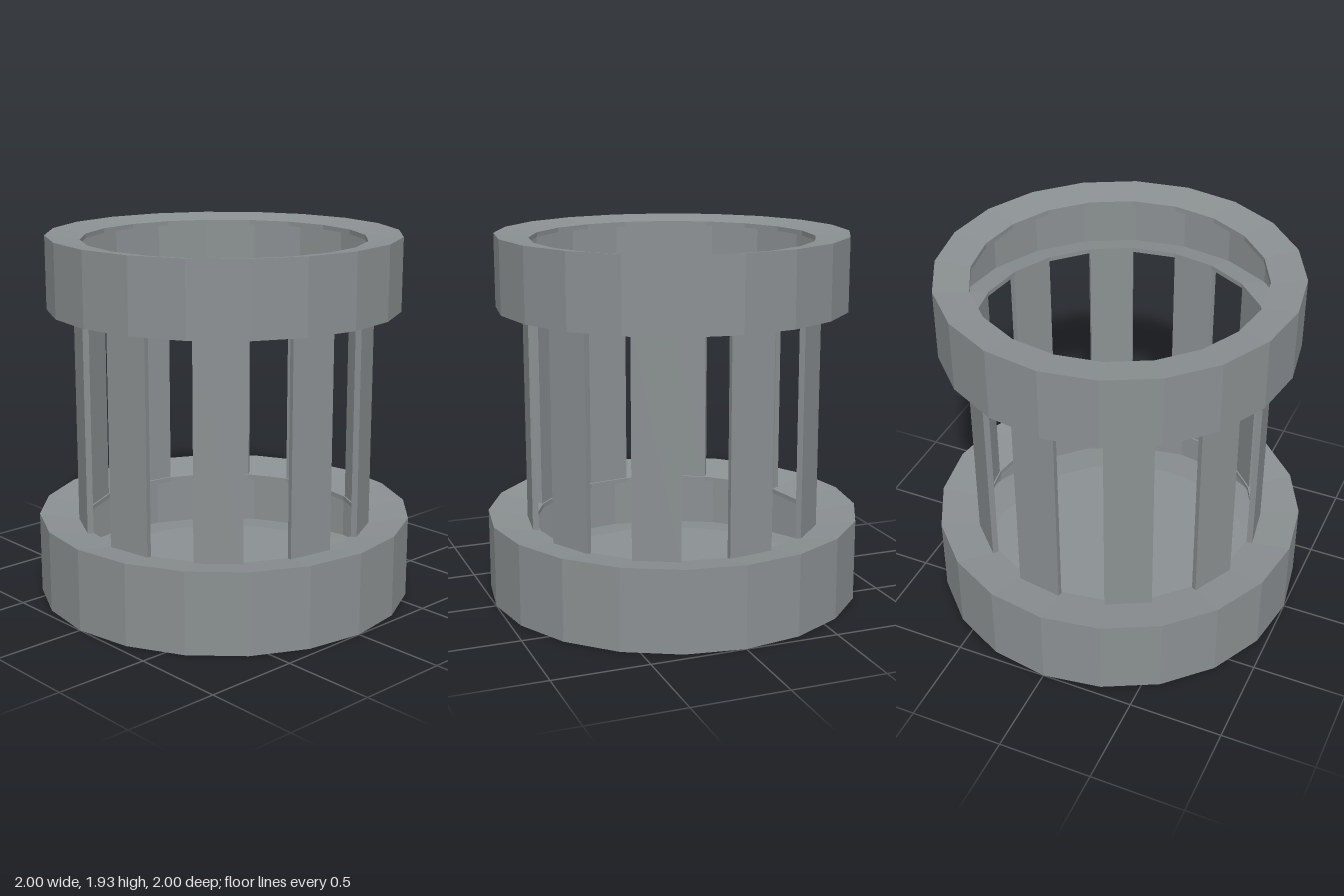
import * as THREE from 'three';

const SIDES = 20;
const STEP = (Math.PI * 2) / SIDES;

export function createModel() {
  const group = new THREE.Group();
  const steel = new THREE.MeshStandardMaterial({ color: 0x8b9092 });

  // Unshared vertices give every facet its own flat normal
  const add = (geometry, name) => {
    const flat = geometry.index ? geometry.toNonIndexed() : geometry;
    flat.computeVertexNormals();
    const mesh = new THREE.Mesh(flat, steel);
    mesh.name = name;
    group.add(mesh);
  };
  const lathe = (profile) =>
    new THREE.LatheGeometry(profile.map(([r, y]) => new THREE.Vector2(r, y)), SIDES);

  // Base: thin-walled pan with a raised floor and a rim sloping inward
  add(lathe([
    [0, 0.04], [0.75, 0.04], [1, 0], [1, 0.435], [0.75, 0.39],
    [0.75, 0.365], [0.97, 0.4], [0.97, 0.035], [0.75, 0.065], [0, 0.065],
  ]), 'base');

  // Top ring: channel open toward the centre, both flanges dished inward
  add(lathe([
    [0.75, 1.595], [0.93, 1.55], [0.93, 1.935], [0.75, 1.91], [0.75, 1.885],
    [0.9, 1.905], [0.9, 1.583], [0.75, 1.62], [0.75, 1.595],
  ]), 'topRing');

  // Flat bars fill every second side between base and top ring
  const bottom = 0.385, top = 1.6, inner = 0.757, outer = 0.79;
  for (let i = 1; i < SIDES; i += 2) {
    const a = i * STEP, b = a + STEP;
    const corner = (r, t) => new THREE.Vector2(r * Math.sin(t), -r * Math.cos(t));
    const section = new THREE.Shape([
      corner(inner, a), corner(outer, a), corner(outer, b), corner(inner, b),
    ]);
    const bar = new THREE.ExtrudeGeometry(section, { depth: top - bottom, bevelEnabled: false });
    bar.rotateX(-Math.PI / 2).translate(0, bottom, 0);
    add(bar, 'bar');
  }

  return group;
}
